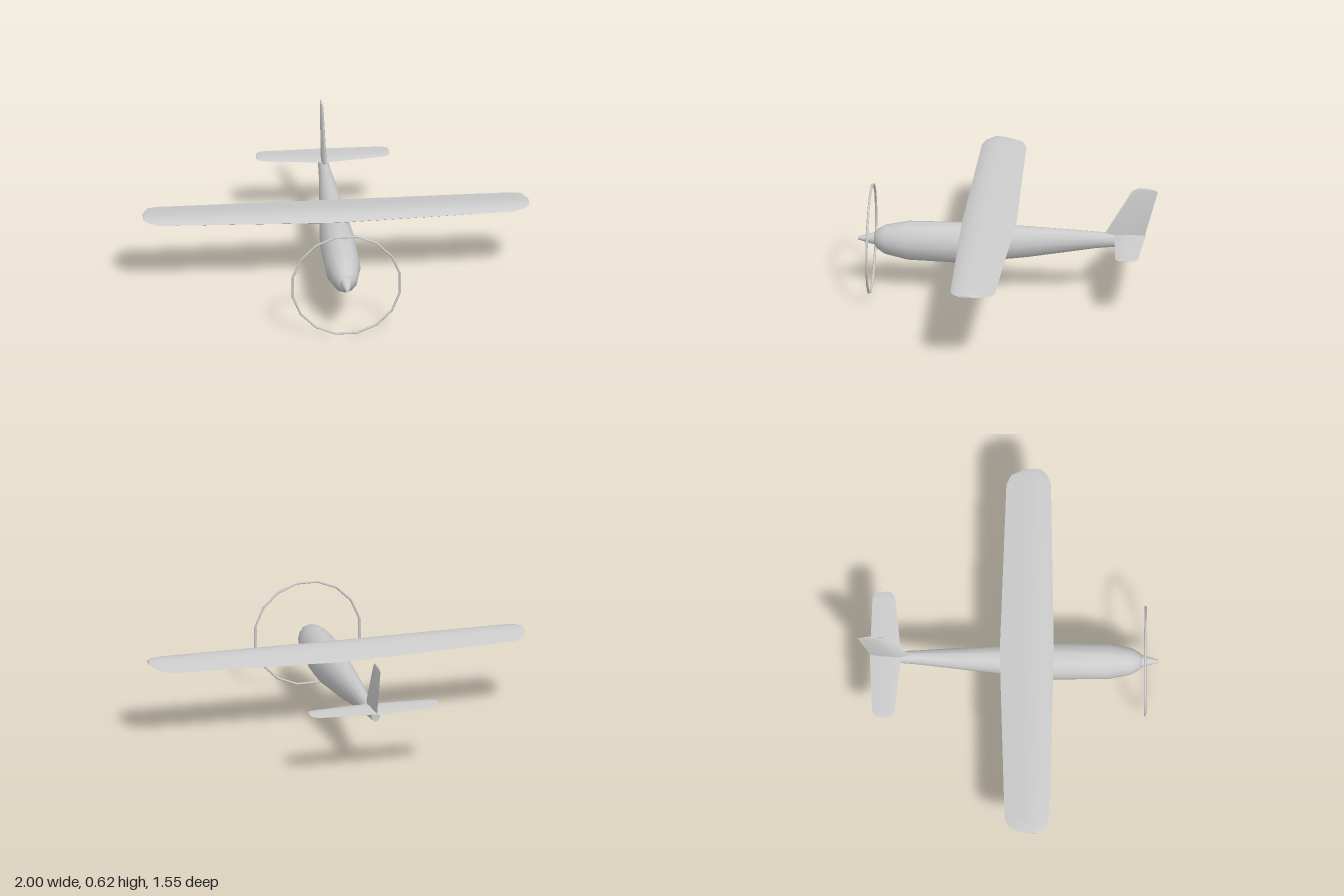
import * as THREE from 'three';
import { toCreasedNormals } from 'three/addons/utils/BufferGeometryUtils.js';

const material = new THREE.MeshStandardMaterial({ color: 0xcccccc });

// Skins closed rings (counter-clockwise seen from the direction of advance) and caps both ends.
function loft(rings, crease = 0.75) {
  const n = rings[0].length;
  const pos = rings.flat(2);
  const index = [];
  for (let i = 0; i < rings.length - 1; i++) {
    for (let j = 0; j < n; j++) {
      const k = (j + 1) % n;
      const a = i * n + j, b = i * n + k, c = a + n, d = b + n;
      index.push(a, b, d, a, d, c);
    }
  }
  for (const r of [0, rings.length - 1]) {
    const center = pos.length / 3;
    for (let axis = 0; axis < 3; axis++) {
      pos.push(rings[r].reduce((sum, p) => sum + p[axis], 0) / n);
    }
    for (let j = 0; j < n; j++) {
      const a = r * n + j, b = r * n + (j + 1) % n;
      if (r === 0) index.push(center, b, a);
      else index.push(center, a, b);
    }
  }
  const geometry = new THREE.BufferGeometry();
  geometry.setAttribute('position', new THREE.Float32BufferAttribute(pos, 3));
  geometry.setIndex(index);
  return toCreasedNormals(geometry, crease);
}

// Aerofoil outline from the trailing edge over the top: [distance behind leading edge, height]
const aerofoil = [
  [1, 0.15], [0.75, 0.55], [0.5, 0.88], [0.35, 1], [0.2, 0.92], [0.07, 0.68],
  [0, 0.35], [0.06, 0.1], [0.25, 0], [0.65, 0.02],
];
const symmetric = [
  [1, 0.5], [0.7, 0.8], [0.35, 1], [0.1, 0.8],
  [0, 0.5], [0.1, 0.2], [0.35, 0], [0.7, 0.2],
];

// Horizontal surface from half-span stations [x, zBack, zFront, yBottom, yTop], mirrored in x
function span(profile, stations) {
  const mirrored = stations.filter((s) => s[0] > 0).reverse().map(([x, ...rest]) => [-x, ...rest]);
  return loft([...mirrored, ...stations].map(([x, back, front, low, high]) =>
    profile.map(([u, h]) => [x, low + h * (high - low), front + u * (back - front)])));
}

export function createModel() {
  const model = new THREE.Group();
  const add = (name, geometry) => {
    const mesh = new THREE.Mesh(geometry, material);
    mesh.name = name;
    model.add(mesh);
    return mesh;
  };

  // Fuselage stations: z, bottom, top, half width
  const sides = 12;
  const hull = [
    [-0.68, 0.305, 0.357, 0.022],
    [-0.45, 0.278, 0.369, 0.036],
    [-0.1, 0.215, 0.383, 0.066],
    [0.24, 0.171, 0.39, 0.094],
    [0.52, 0.178, 0.385, 0.092],
    [0.64, 0.205, 0.36, 0.068],
    [0.68, 0.232, 0.338, 0.045],
    [0.695, 0.252, 0.318, 0.032],
  ];
  add('fuselage', loft(hull.map(([z, low, high, half]) =>
    Array.from({ length: sides }, (_, j) => {
      const a = (j / sides) * Math.PI * 2;
      return [Math.cos(a) * half, (low + high) / 2 + Math.sin(a) * (high - low) / 2, z];
    })), 0.9));

  // Main wing with clipped, thinned tips
  add('wing', span(aerofoil, [
    [0, -0.04, 0.24, 0.393, 0.433],
    [0.92, -0.01, 0.22, 0.41, 0.438],
    [0.97, 0.015, 0.2, 0.418, 0.436],
    [1, 0.09, 0.165, 0.425, 0.433],
  ]));

  // Horizontal tail
  add('tailplane', span(symmetric, [
    [0, -0.71, -0.548, 0.348, 0.364],
    [0.305, -0.698, -0.58, 0.354, 0.366],
    [0.335, -0.685, -0.592, 0.357, 0.366],
    [0.345, -0.65, -0.61, 0.36, 0.365],
  ]));

  // Swept fin stations: [front z, front y, back z, back y, thickness]
  const fin = [
    [-0.495, 0.355, -0.705, 0.355, 0.03],
    [-0.64, 0.608, -0.774, 0.608, 0.018],
    [-0.675, 0.625, -0.745, 0.62, 0.01],
  ];
  add('fin', loft(fin.map(([zf, yf, zb, yb, t]) =>
    symmetric.map(([u, h]) => [(0.5 - h) * t, yf + u * (yb - yf), zf + u * (zb - zf)]))));

  // Propeller: pointed spinner and thin disc outline
  const spinner = add('spinner', new THREE.CylinderGeometry(0.009, 0.034, 0.095, 16));
  spinner.rotation.x = Math.PI / 2;
  spinner.position.set(0, 0.285, 0.7325);

  const ring = add('propellerRing', new THREE.TorusGeometry(0.283, 0.006, 8, 16));
  ring.rotation.z = Math.PI / 16;
  ring.position.set(0, 0.284, 0.712);

  return model;
}
